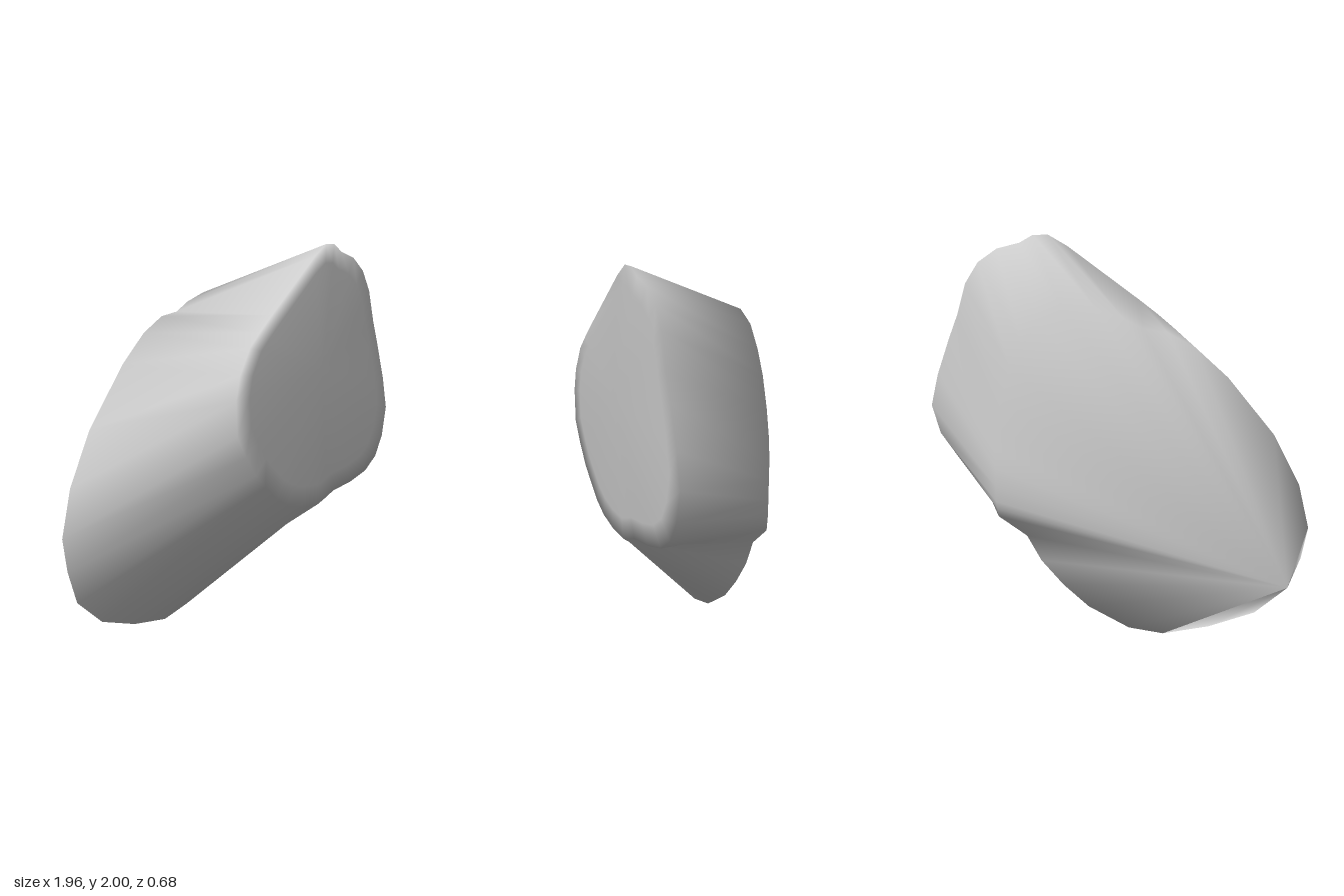
import * as THREE from 'three';

// Outlines as [x, y], counter-clockwise seen from the front, paired by index
const frontOutline = [
  [0.98, 1.08], [0.94, 1.25], [0.87, 1.45], [0.82, 1.58], [0.77, 1.75], [0.70, 1.86],
  [0.60, 1.93], [0.48, 1.96], [0.41, 2.0], [0.33, 2.0], [0.23, 1.94], [-0.15, 1.65],
  [-0.25, 1.57], [-0.33, 1.5], [-0.41, 1.37], [-0.44, 1.25], [-0.43, 1.08], [-0.36, 0.97],
  [-0.28, 0.87], [-0.2, 0.8], [-0.1, 0.72], [0, 0.67], [0.13, 0.64], [0.2, 0.635],
  [0.28, 0.63], [0.36, 0.655], [0.43, 0.68], [0.6, 0.70], [0.76, 0.74], [0.87, 0.81],
  [0.94, 0.92],
];
const backOutline = [
  [0.61, 0.85], [0.61, 0.95], [0.61, 1.05], [0.6, 1.16], [0.57, 1.3], [0.52, 1.46],
  [0.46, 1.58], [0.38, 1.69], [0.27, 1.75], [0.1, 1.745], [-0.03, 1.70], [-0.12, 1.65],
  [-0.24, 1.63], [-0.38, 1.55], [-0.54, 1.4], [-0.78, 1.1], [-0.92, 0.83], [-0.98, 0.59],
  [-0.95, 0.42], [-0.89, 0.25], [-0.72, 0.11], [-0.48, 0.035], [-0.24, 0], [-0.06, 0.04],
  [0.15, 0.17], [0.28, 0.3], [0.39, 0.44], [0.46, 0.58], [0.6, 0.69], [0.605, 0.73],
  [0.61, 0.77],
];
const FRONT_Z = 0.3, BACK_Z = -0.34;
const PEAK = [0.25, 1.35, 0.335]; // low peak of the front face

function rockGeometry() {
  const n = frontOutline.length;
  const positions = [], index = [];
  for (const [x, y] of frontOutline) positions.push(x, y, FRONT_Z);
  for (const [x, y] of backOutline) positions.push(x, y, BACK_Z);
  // Inner ring keeps the shading of the front face even up to its rim
  for (const [x, y] of frontOutline) {
    positions.push(...new THREE.Vector3(...PEAK).lerp(new THREE.Vector3(x, y, FRONT_Z), 0.85));
  }
  positions.push(...PEAK);
  const inner = 2 * n, peak = 3 * n, backHub = 19;

  for (let i = 0; i < n; i++) {
    const j = (i + 1) % n;
    index.push(peak, inner + i, inner + j);                   // domed front face
    index.push(inner + i, i, j, inner + i, j, inner + j);     // front rim
    index.push(i, n + i, n + j, i, n + j, j);                 // slanted side
    if (i !== backHub && j !== backHub) {
      index.push(n + backHub, n + j, n + i);                  // flat back, fanned from its low corner
    }
  }

  const geometry = new THREE.BufferGeometry();
  geometry.setAttribute('position', new THREE.Float32BufferAttribute(positions, 3));
  geometry.setIndex(index);
  geometry.computeVertexNormals();
  return geometry;
}

export function createModel() {
  const group = new THREE.Group();
  group.name = 'rock';
  const rock = new THREE.Mesh(rockGeometry(), new THREE.MeshStandardMaterial({ color: 0xcccccc }));
  rock.name = 'rockBody';
  group.add(rock);
  return group;
}
